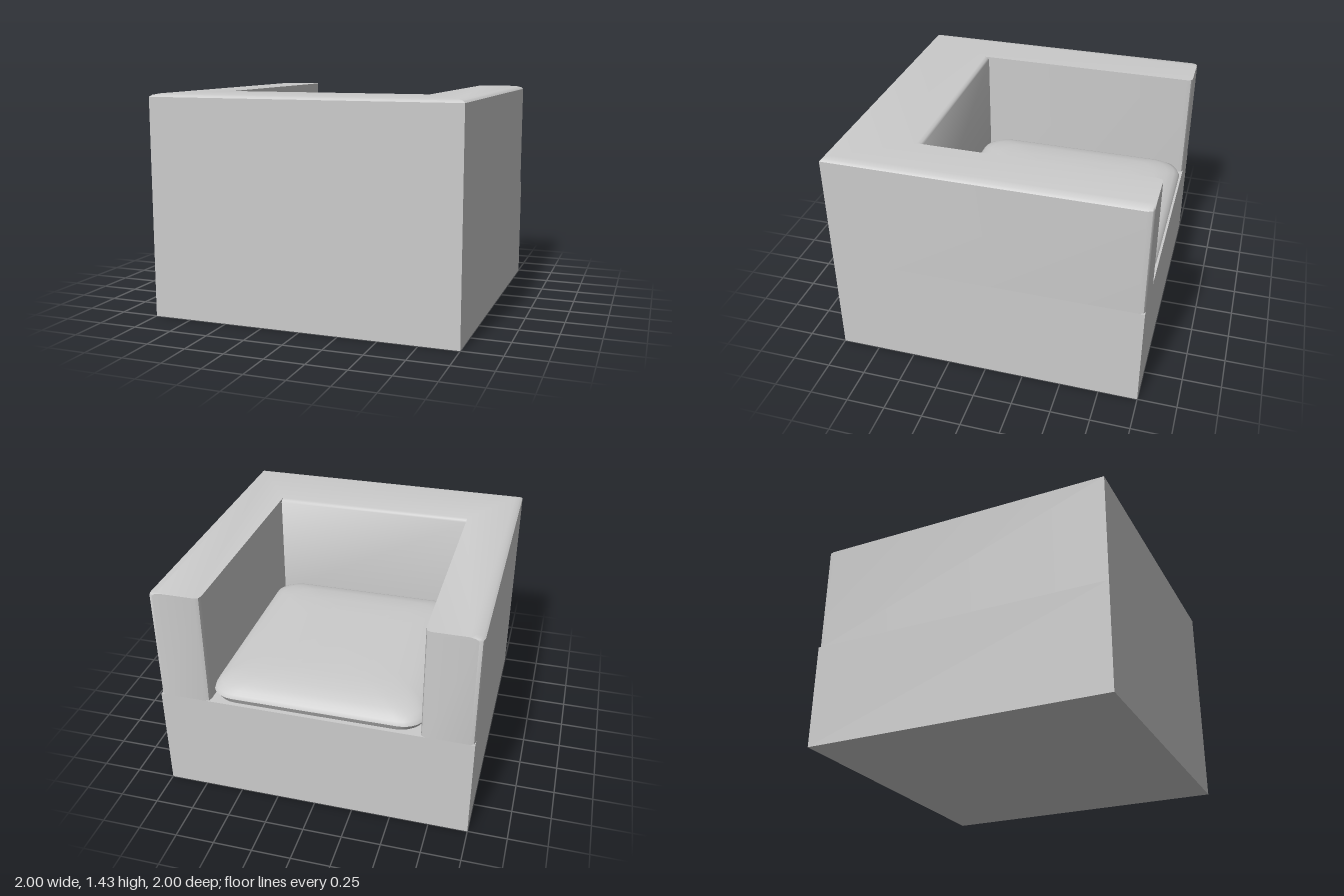
import * as THREE from 'three';
import { toCreasedNormals } from 'three/addons/utils/BufferGeometryUtils.js';

// Stacks equal-length outlines [y, points] (points are x, -z, counter-clockwise) and caps the top
function loft(layers) {
  const pos = [];
  const put = (y, p) => pos.push(p.x, y, -p.y);
  for (let k = 0; k < layers.length - 1; k++) {
    const [y0, a] = layers[k];
    const [y1, b] = layers[k + 1];
    for (let i = 0; i < a.length; i++) {
      const j = (i + 1) % a.length;
      put(y0, a[i]); put(y0, a[j]); put(y1, b[j]);
      put(y0, a[i]); put(y1, b[j]); put(y1, b[i]);
    }
  }
  const [yTop, top] = layers[layers.length - 1];
  for (const face of THREE.ShapeUtils.triangulateShape(top, [])) {
    for (const i of face) put(yTop, top[i]);
  }
  const geometry = new THREE.BufferGeometry();
  geometry.setAttribute('position', new THREE.Float32BufferAttribute(pos, 3));
  return toCreasedNormals(geometry, 0.65);
}

// U-shaped outline of the arms and backrest; inset pulls in the outer and backrest edges
function frameOutline(inset) {
  const o = 1 - inset;
  const half = [
    [o, -o], [o, 0.96], [o - 0.009, 0.99], [o - 0.03, 1],
    [0.7, 1], [0.679, 0.99], [0.67, 0.96], [0.67, -0.48 - 0.6 * inset],
  ];
  const right = half.map(([x, y]) => new THREE.Vector2(x, y));
  const left = half.map(([x, y]) => new THREE.Vector2(-x, y)).reverse();
  return [...right, ...left];
}

// Rounded rectangle outline of the seat cushion
function cushionOutline(inset) {
  const w = 0.69 - inset, d = 0.74 - inset, r = 0.16, steps = 6;
  const points = [];
  [[1, 1], [-1, 1], [-1, -1], [1, -1]].forEach(([sx, sy], corner) => {
    for (let i = 0; i <= steps; i++) {
      const t = (corner + i / steps) * Math.PI / 2;
      points.push(new THREE.Vector2(
        sx * (w - r) + r * Math.cos(t),
        0.25 + sy * (d - r) + r * Math.sin(t),
      ));
    }
  });
  return points;
}

export function createModel() {
  const group = new THREE.Group();
  group.name = 'armchair';
  const fabric = new THREE.MeshStandardMaterial({ color: 0xcccccc });
  fabric.name = 'light grey fabric';

  const add = (name, geometry) => {
    const mesh = new THREE.Mesh(geometry, fabric);
    mesh.name = name;
    group.add(mesh);
  };

  // Solid block below the seat
  add('base', new THREE.BoxGeometry(2, 0.69, 2).translate(0, 0.345, 0));

  // Arms and backrest with softened top edges
  const frame = [[0.69, 0], [1.41, 0], [1.422, 0.015], [1.43, 0.05]];
  add('armsAndBackrest', loft(frame.map(([y, inset]) => [y, frameOutline(inset)])));

  // Domed seat cushion
  const cushion = [
    [0.69, 0.02], [0.73, 0], [0.755, 0.01], [0.775, 0.035],
    [0.797, 0.08], [0.815, 0.16], [0.825, 0.28], [0.83, 0.42],
  ];
  add('seatCushion', loft(cushion.map(([y, inset]) => [y, cushionOutline(inset)])));

  return group;
}
